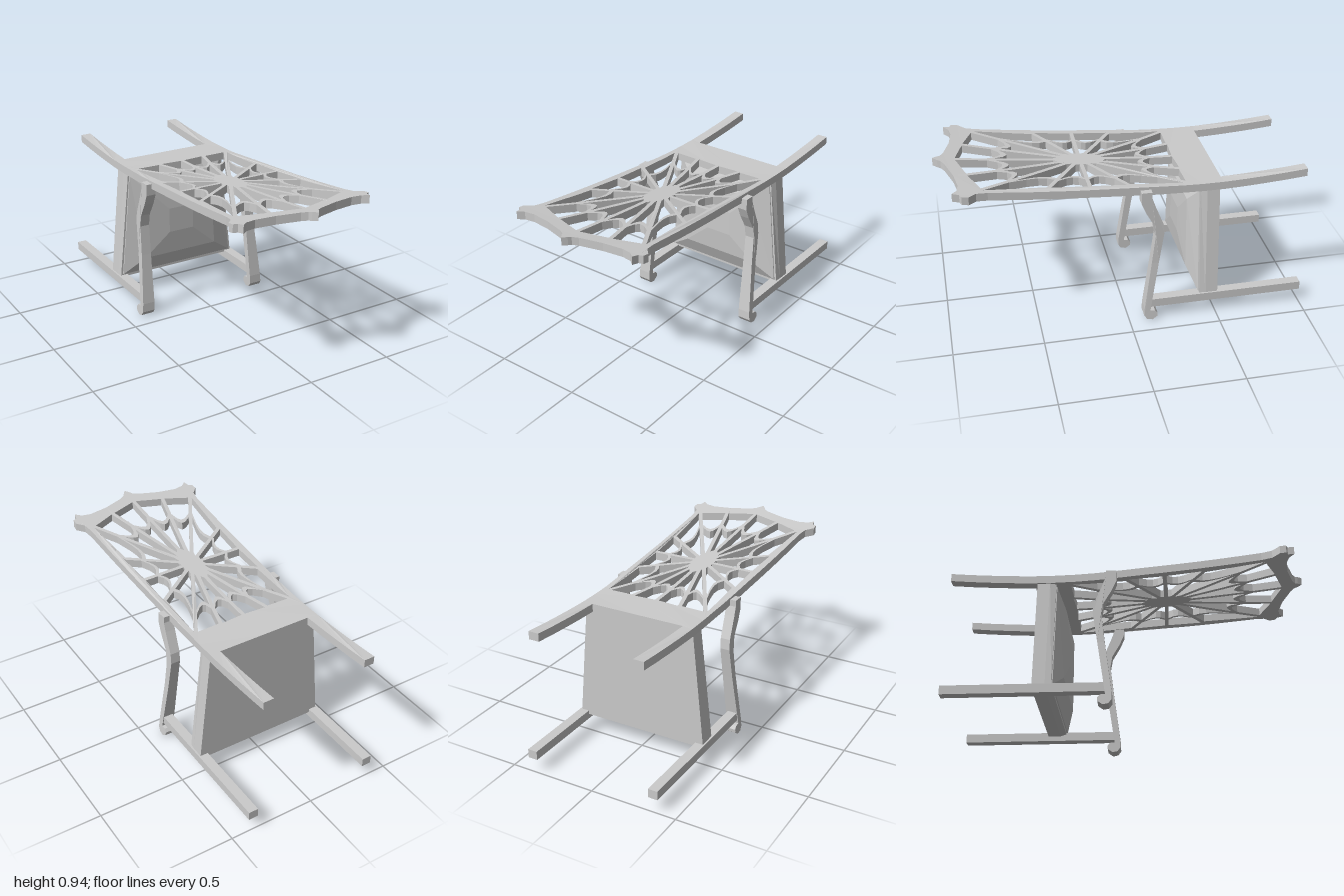
import * as THREE from 'three';

const material = new THREE.MeshStandardMaterial({ color: 0xcccccc, flatShading: true });
const V = (x, y) => new THREE.Vector2(x, y);

// Piecewise linear lookup in [key, value] pairs with rising keys
function lookup(pairs, k) {
  for (let i = 1; i < pairs.length; i++) {
    const [a, va] = pairs[i - 1], [b, vb] = pairs[i];
    if (k <= b || i === pairs.length - 1) return va + (vb - va) * (k - a) / (b - a);
  }
}

// Move every vertex by a rule, then rebuild flat normals
function warp(geometry, rule) {
  const g = geometry.index ? geometry.toNonIndexed() : geometry;
  const p = g.attributes.position, v = new THREE.Vector3();
  for (let i = 0; i < p.count; i++) {
    rule(v.fromBufferAttribute(p, i));
    p.setXYZ(i, v.x, v.y, v.z);
  }
  g.computeVertexNormals();
  return g;
}

function add(group, name, geometry) {
  const mesh = new THREE.Mesh(geometry, material);
  mesh.name = name;
  group.add(mesh);
  return mesh;
}

// Closed solid from trapezoid sections [z, yBottom, yTop, halfBottom, halfTop], back to front
function trapezoidLoft(sections) {
  const pos = [];
  const rings = sections.map(([z, y0, y1, b, t]) => [[-b, y0, z], [b, y0, z], [t, y1, z], [-t, y1, z]]);
  const quad = (a, b, c, d) => pos.push(...a, ...b, ...c, ...a, ...c, ...d);
  for (let i = 0; i < rings.length - 1; i++) {
    for (let k = 0; k < 4; k++) {
      const n = (k + 1) % 4;
      quad(rings[i][k], rings[i][n], rings[i + 1][n], rings[i + 1][k]);
    }
  }
  const [a, b, c, d] = rings[0];
  quad(d, c, b, a);
  quad(...rings[rings.length - 1]);
  const g = new THREE.BufferGeometry();
  g.setAttribute('position', new THREE.Float32BufferAttribute(pos, 3));
  g.computeVertexNormals();
  return g;
}

// Height of the middle of the bent back along z
const bend = new THREE.SplineCurve([
  V(-1, 0.819), V(-0.8, 0.803), V(-0.5, 0.79), V(-0.2, 0.798), V(0, 0.814),
  V(0.4, 0.848), V(0.8, 0.893), V(1, 0.922),
]).getPoints(60).map(p => [p.x, p.y]);

// Half of the back outline, as [x, z] from the rear leg crotch to the crest tip
const halfOutline = [
  [0, -0.525], [0.275, -0.525], [0.275, -1], [0.335, -1], [0.335, -0.3], [0.362, 0.74],
  [0.372, 0.8], [0.41, 0.84], [0.408, 0.875], [0.385, 0.885], [0.377, 0.922], [0.345, 0.895], [0.29, 0.885],
  [0.18, 0.902], [0.06, 0.94], [0.03, 0.958], [0.02, 0.975], [0, 1],
];

// Ends of the web spokes on one half, as [x, z]
const halfSpokes = [
  [0, -0.32], [0.145, -0.325], [0.295, -0.32], [0.302, -0.01], [0.307, 0.2], [0.312, 0.42],
  [0.325, 0.765], [0.17, 0.83], [0, 0.88],
];

const mirrorLoop = half => [...half, ...half.slice(1, -1).reverse().map(([x, z]) => [-x, z])];

// Split long edges so that the bend stays smooth
function subdivide(points, step = 0.12) {
  return points.flatMap((p, i) => {
    const q = points[(i + 1) % points.length];
    const n = Math.max(1, Math.ceil(p.distanceTo(q) / step));
    return Array.from({ length: n }, (_, k) => p.clone().lerp(q, k / n));
  });
}

// Back with rear legs, seat rail and pierced web, cut from one bent board
function backGeometry() {
  const shape = new THREE.Shape(subdivide(mirrorLoop(halfOutline).map(p => V(...p))));
  const centre = V(0, 0.205);
  const spokes = mirrorLoop(halfSpokes).map(p => V(...p).sub(centre));
  const halfWidth = 0.011;

  // Point on one edge of a spoke at a fraction of its length
  const edge = (d, t, side) => {
    const l = d.length();
    return V(centre.x + d.x * t - d.y / l * halfWidth * side, centre.y + d.y * t + d.x / l * halfWidth * side);
  };
  const hub = d => 1 / Math.hypot(d.x / 0.062, d.y / 0.147);
  // Scallop between two spokes, sagging towards the hub
  const scallop = (a, b, t) => {
    const p = edge(a, t, 1), q = edge(b, t, -1);
    return [0, 0.25, 0.5, 0.75, 1].map(k => {
      const m = p.clone().lerp(q, k);
      return m.lerp(centre, 0.5 * k * (1 - k));
    });
  };

  spokes.forEach((a, i) => {
    const b = spokes[(i + 1) % spokes.length];
    const inner = [edge(b, hub(b), -1), edge(a, hub(a), 1), ...scallop(a, b, 0.69)];
    const outer = [...scallop(a, b, 0.75).reverse(), edge(a, 1, 1), edge(b, 1, -1)];
    for (const hole of [inner, outer]) shape.holes.push(new THREE.Path(subdivide(hole)));
  });

  const thickness = 0.045;
  const g = new THREE.ExtrudeGeometry(shape, { depth: thickness, bevelEnabled: false });
  g.rotateX(Math.PI / 2);
  return warp(g, v => { v.y += lookup(bend, v.z) + thickness / 2; });
}

// Curved arm with a scrolled end, wider towards the scroll; side is +1 or -1
function armGeometry(side) {
  const profile = [
    [-0.065, 0.815], [-0.065, 0.75], [-0.09, 0.69], [-0.135, 0.61], [-0.146, 0.54], [-0.125, 0.37],
    [-0.085, 0.08], [-0.083, 0.03], [-0.1, 0.006], [-0.13, 0], [-0.158, 0.02], [-0.16, 0.04],
    [-0.145, 0.058], [-0.118, 0.06], [-0.165, 0.37], [-0.193, 0.55], [-0.188, 0.61], [-0.14, 0.73],
    [-0.123, 0.78], [-0.123, 0.815],
  ];
  const outer = [[0, 0.41], [0.1, 0.402], [0.3, 0.386], [0.55, 0.376], [0.82, 0.374]];
  const inner = [[0, 0.332], [0.82, 0.316]];
  const shape = new THREE.Shape(profile.map(p => V(...p)));
  const g = new THREE.ExtrudeGeometry(shape, { depth: 1, bevelEnabled: false });
  return warp(g, v => {
    const k = side > 0 ? 1 - v.z : v.z;
    const x = lookup(inner, v.y) * (1 - k) + lookup(outer, v.y) * k;
    v.set(side * x, v.y, v.x);
  });
}

export function createModel() {
  const group = new THREE.Group();
  group.name = 'chair';

  add(group, 'backAndRearLegs', backGeometry());

  // Seat frame with a chamfered front edge
  add(group, 'seatFrame', trapezoidLoft([
    [-0.51, 0.108, 0.785, 0.39, 0.325],
    [-0.44, 0.108, 0.785, 0.39, 0.325],
    [-0.405, 0.12, 0.775, 0.385, 0.315],
  ]));

  // Domed cushion
  add(group, 'cushion', trapezoidLoft([
    [-0.42, 0.13, 0.765, 0.375, 0.31],
    [-0.4, 0.137, 0.755, 0.37, 0.308],
    [-0.357, 0.23, 0.655, 0.24, 0.215],
    [-0.343, 0.37, 0.52, 0.08, 0.08],
  ]));

  // Front legs and arms
  for (const side of [1, -1]) {
    const label = side > 0 ? 'left' : 'right';
    const leg = add(group, label + 'FrontLeg', new THREE.BoxGeometry(0.055, 0.05, 0.89));
    leg.position.set(side * 0.37, 0.105, -0.555);
    add(group, label + 'Arm', armGeometry(side));
  }
  return group;
}
